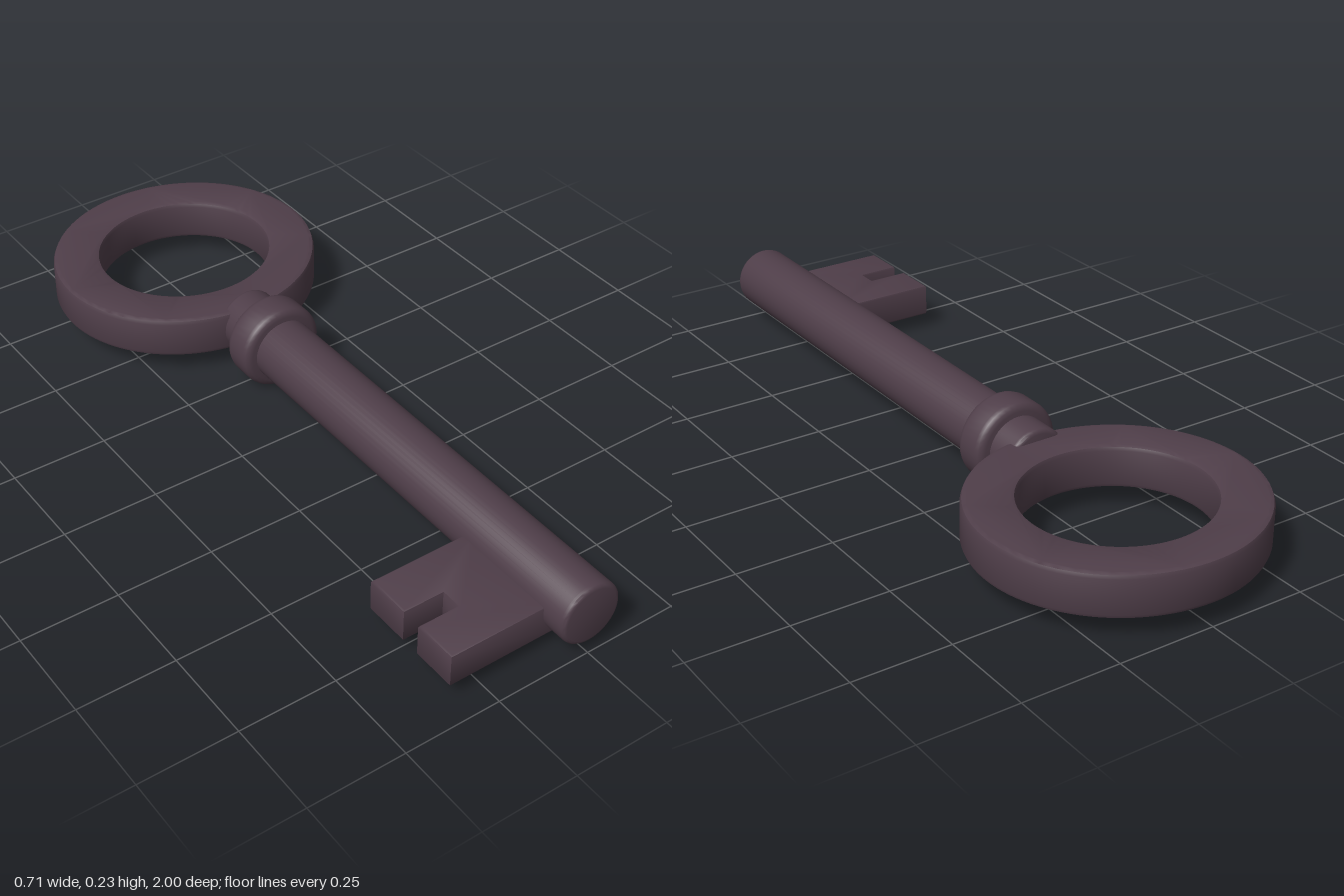
import * as THREE from 'three';
import { toCreasedNormals } from 'three/addons/utils/BufferGeometryUtils.js';

const AXIS_Y = 0.114; // height of the shaft's axis

export function createModel() {
  const key = new THREE.Group();
  key.name = 'key';
  const iron = new THREE.MeshStandardMaterial({ color: 0x4f3e49 });
  iron.name = 'dark iron';

  const add = (name, geometry) => {
    const mesh = new THREE.Mesh(toCreasedNormals(geometry, 0.6), iron);
    mesh.name = name;
    key.add(mesh);
  };

  // Rod along z with rounded rims
  const rod = (name, radius, z0, z1, bevel) => {
    const points = [[0, z0]];
    for (let i = 0; i <= 3; i++) {
      const a = (i / 3) * Math.PI / 2;
      points.push([radius - bevel + bevel * Math.sin(a), z0 + bevel - bevel * Math.cos(a)]);
    }
    for (let i = 0; i <= 3; i++) {
      const a = (i / 3) * Math.PI / 2;
      points.push([radius - bevel + bevel * Math.cos(a), z1 - bevel + bevel * Math.sin(a)]);
    }
    points.push([0, z1]);
    const geometry = new THREE.LatheGeometry(points.map(([r, z]) => new THREE.Vector2(r, z)), 40);
    add(name, geometry.rotateX(Math.PI / 2).translate(0, AXIS_Y, 0));
  };

  // Flat plate drawn in x and z, with bevelled edges, between two heights
  const plate = (name, shape, y0, y1, bevel) => {
    const geometry = new THREE.ExtrudeGeometry(shape, {
      depth: y1 - y0 - 2 * bevel, bevelEnabled: true, bevelThickness: bevel,
      bevelSize: bevel, bevelOffset: -bevel, bevelSegments: 2, curveSegments: 56,
    });
    add(name, geometry.rotateX(Math.PI / 2).translate(0, y1 - bevel, 0));
  };

  // Bow: slightly oval ring handle
  const ring = new THREE.Shape().absellipse(0, -0.66, 0.357, 0.34, 0, Math.PI * 2, false);
  ring.holes.push(new THREE.Path().absellipse(0, -0.66, 0.23, 0.22, 0, Math.PI * 2, true));
  plate('bow', ring, 0.056, 0.167, 0.012);

  // Shaft with its neck, and the collar around it
  rod('shaft', 0.082, -0.36, 1, 0.012);
  rod('collar', 0.114, -0.277, -0.183, 0.02);

  // Bit: toothed plate with a slot, on the right side
  const outline = [
    [-0.04, 0.65], [-0.04, 0.935], [-0.335, 0.935], [-0.335, 0.82],
    [-0.227, 0.82], [-0.227, 0.77], [-0.335, 0.77], [-0.335, 0.65],
  ];
  plate('bit', new THREE.Shape(outline.map(([x, z]) => new THREE.Vector2(x, z))), 0.04, 0.128, 0.006);

  return key;
}
